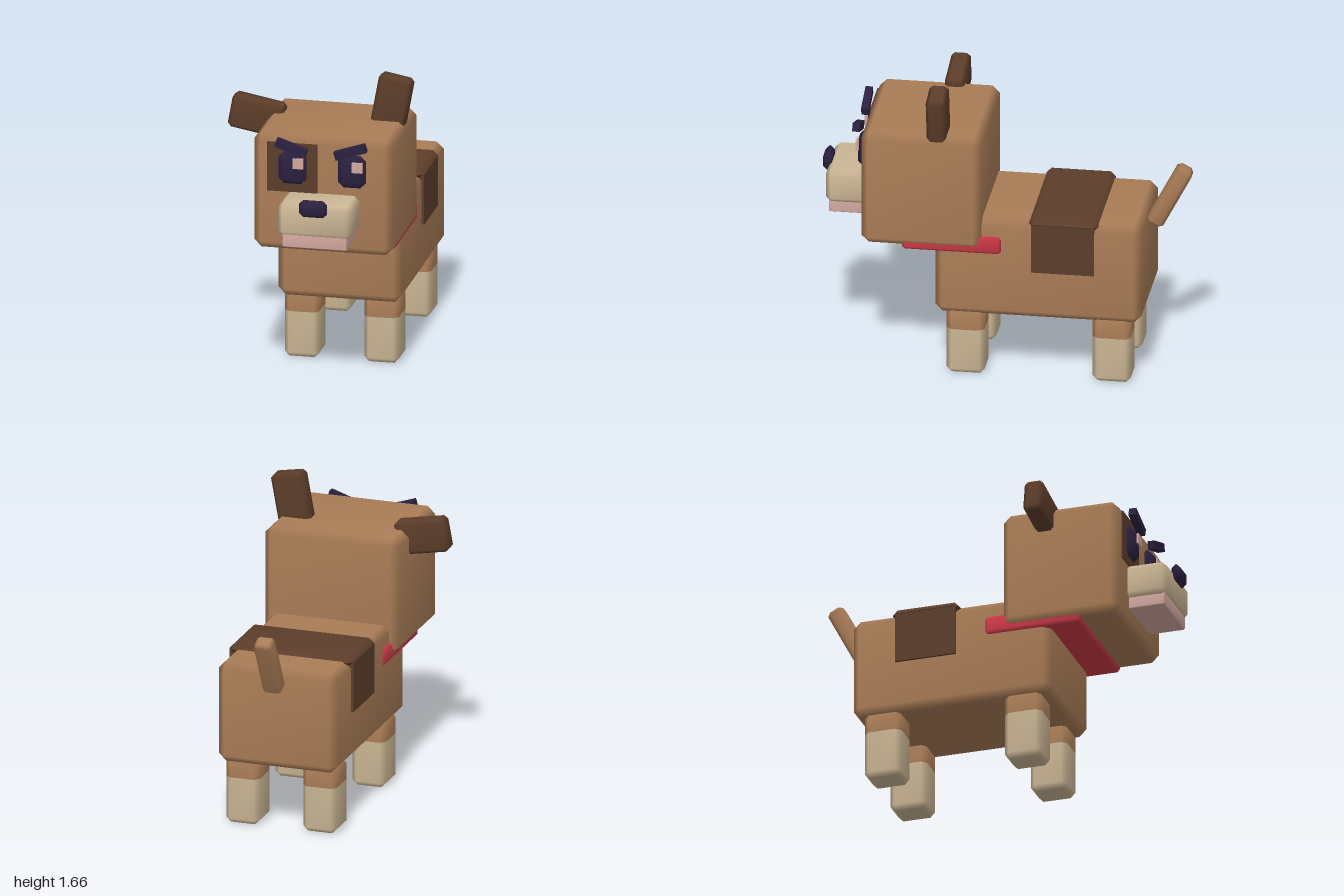
import * as THREE from 'three';
import { mergeVertices } from 'three/addons/utils/BufferGeometryUtils.js';

const material = (name, color) => {
  const m = new THREE.MeshStandardMaterial({ color });
  m.name = name;
  return m;
};

// Bevelled box built from octagonal rings; an optional cut height splits it into two material groups.
function bevelBox(w, h, d, c, cut) {
  if (!c) return new THREE.BoxGeometry(w, h, d);
  const X = w / 2, Y = h / 2, Z = d / 2, x = X - c, z = Z - c;
  const side = [[X, -z], [X, z], [x, Z], [-x, Z], [-X, z], [-X, -z], [-x, -Z], [x, -Z]];
  const cap = side.map(([a, b]) => [Math.sign(a) * x, Math.sign(b) * z]);
  const rings = [[-Y, cap], [-Y + c, side]];
  if (cut !== undefined) rings.push([cut - Y, side]);
  rings.push([Y - c, side], [Y, cap]);

  const pos = [], idx = [];
  rings.forEach(([y, ring]) => ring.forEach(([a, b]) => pos.push(a, y, b)));
  idx.push(0, 2, 4, 0, 4, 6);
  let split = 0;
  for (let r = 0; r < rings.length - 1; r++) {
    if (r === 2) split = idx.length;
    for (let i = 0; i < 8; i++) {
      const a = r * 8 + i, b = r * 8 + (i + 1) % 8;
      idx.push(a, a + 8, b, b, a + 8, b + 8);
    }
  }
  const t = (rings.length - 1) * 8;
  idx.push(t, t + 4, t + 2, t, t + 6, t + 4);

  let geo = new THREE.BufferGeometry();
  geo.setAttribute('position', new THREE.Float32BufferAttribute(pos, 3));
  geo.setIndex(idx);
  geo = mergeVertices(geo);
  geo.computeVertexNormals();
  if (cut !== undefined) {
    geo.addGroup(0, split, 0);
    geo.addGroup(split, idx.length - split, 1);
  }
  return geo;
}

export function createModel() {
  const model = new THREE.Group();
  model.name = 'dog';
  const tan = material('tan fur', 0xa97c56);
  const brown = material('dark brown fur', 0x5c3d2a);
  const cream = material('cream fur', 0xcbb694);
  const red = material('red collar', 0xcc3946);
  const pink = material('pale pink', 0xd2a8a0);
  const navy = material('dark navy', 0x2b2140);

  // Part from its extents on each axis
  const span = (name, mat, [x0, x1], [y0, y1], [z0, z1], c = 0, cut) => {
    const mesh = new THREE.Mesh(bevelBox(x1 - x0, y1 - y0, z1 - z0, c, cut), mat);
    mesh.position.set((x0 + x1) / 2, (y0 + y1) / 2, (z0 + z1) / 2);
    mesh.name = name;
    model.add(mesh);
    return mesh;
  };
  // Part from its size, centre and tilt
  const tilted = (name, mat, size, centre, c, rx, rz) => {
    const mesh = new THREE.Mesh(bevelBox(...size, c), mat);
    mesh.position.set(...centre);
    mesh.rotation.set(rx, 0, rz);
    mesh.name = name;
    model.add(mesh);
  };

  // Trunk, saddle marking and collar
  span('body', tan, [-0.24, 0.435], [0.36, 0.925], [-0.76, 0.355], 0.04);
  span('saddleTop', brown, [-0.255, 0.45], [0.892, 0.95], [-0.53, -0.155], 0.027);
  span('saddleSides', brown, [-0.254, 0.449], [0.64, 0.92], [-0.51, -0.17]);
  span('collar', red, [-0.255, 0.45], [0.73, 0.83], [-0.005, 0.53], 0.015);

  // Legs with cream socks
  for (const [end, z] of [['front', 0.193], ['back', -0.597]])
    for (const [side, x] of [['Right', -0.122], ['Left', 0.315]])
      span(end + side + 'Leg', [cream, tan], [x - 0.095, x + 0.095], [0, 0.38], [z - 0.103, z + 0.103], 0.027, 0.26);

  // Tail
  tilted('tail', tan, [0.105, 0.37, 0.095], [0.097, 0.985, -0.872], 0.02, -0.48, 0);

  // Head, with one ear upright and one flopped sideways
  span('head', tan, [-0.285, 0.475], [0.757, 1.405], [0.1, 0.75], 0.04);
  tilted('leftEar', brown, [0.185, 0.28, 0.105], [0.391, 1.507, 0.342], 0.02, 0, -0.18);
  tilted('rightEar', brown, [0.29, 0.185, 0.105], [-0.35, 1.375, 0.342], 0.02, 0, -0.18);

  // Eyes and brows
  span('eyePatch', brown, [-0.205, 0.07], [1.092, 1.367], [0.748, 0.757]);
  for (const [side, x, tilt] of [['right', -0.065, -0.34], ['left', 0.26, 0.34]]) {
    span(side + 'Eye', navy, [x - 0.076, x + 0.076], [1.14, 1.32], [0.72, 0.787], 0.03);
    span(side + 'EyeGlint', pink, [x + 0.008, x + 0.065], [1.237, 1.293], [0.78, 0.797]);
    tilted(side + 'Brow', navy, [0.175, 0.046, 0.04], [x, 1.354, 0.792], 0, 0, tilt * 0.95);
  }

  // Snout
  span('muzzle', cream, [-0.105, 0.3], [0.905, 1.093], [0.69, 0.965], 0.028);
  span('lowerJaw', pink, [-0.08, 0.275], [0.845, 0.922], [0.7, 0.95], 0.006);
  span('nose', navy, [0.02, 0.173], [1.033, 1.127], [0.95, 1.0], 0.022);

  return model;
}
